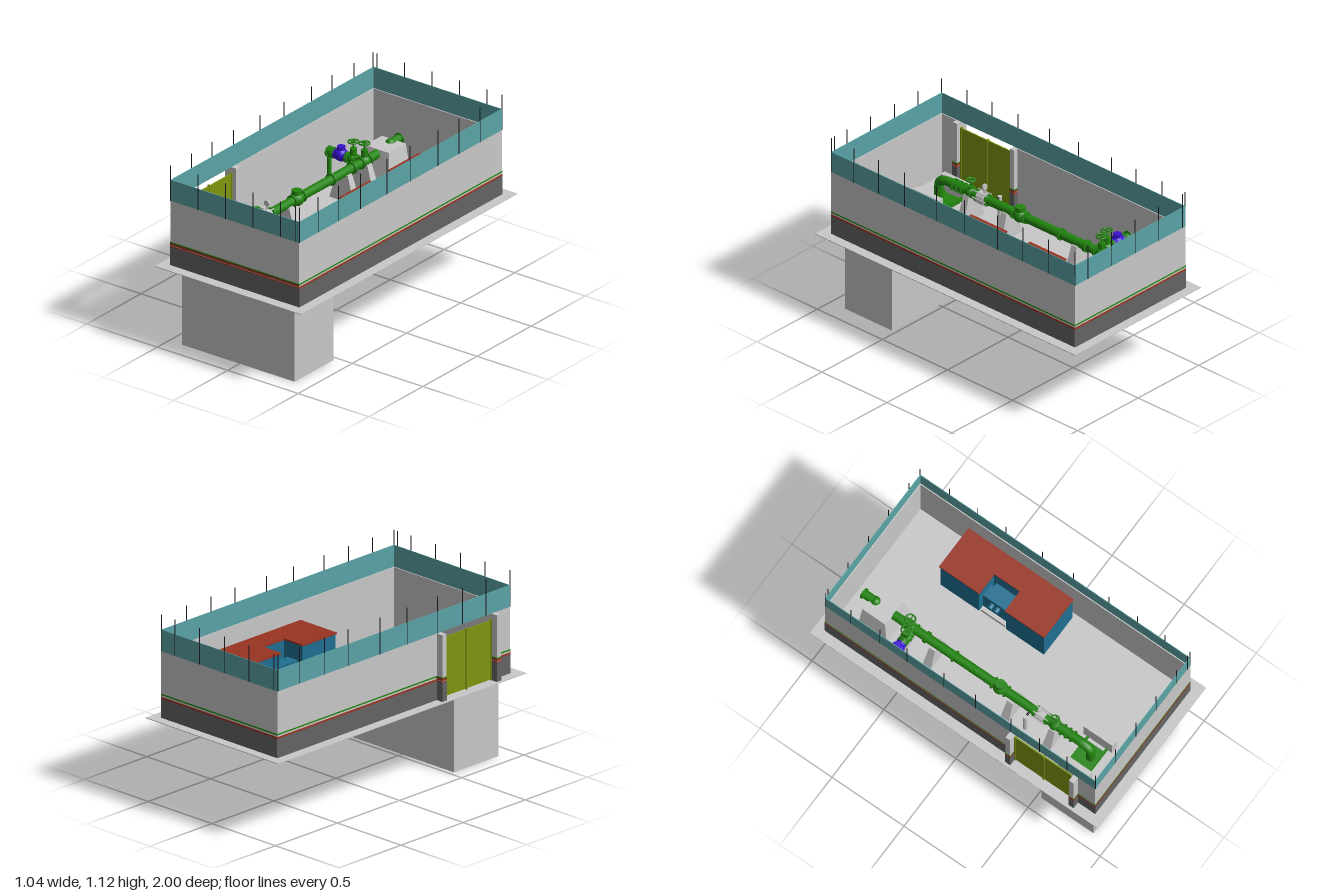
import * as THREE from 'three';

const mat = (name, color) => {
  const m = new THREE.MeshStandardMaterial({ color, side: THREE.DoubleSide });
  m.name = name;
  return m;
};

export function createModel() {
  const concrete = mat('concrete grey', 0xc8c8c8), dark = mat('plinth grey', 0x646464);
  const red = mat('brick red', 0x9a3422), green = mat('pipe green', 0x22850f);
  const blue = mat('cabinet blue', 0x1f6f92), indigo = mat('meter indigo', 0x3a0fd0);
  const teal = mat('screen teal', 0x5aa3a6), black = mat('post black', 0x1a1a22);
  const olive = mat('gate olive', 0x7f960f);

  const root = new THREE.Group();
  root.name = 'pumpStation';
  const group = (name) => {
    const g = new THREE.Group();
    g.name = name;
    root.add(g);
    return g;
  };
  const add = (g, name, geo, m) => {
    const mesh = new THREE.Mesh(geo, m);
    mesh.name = name;
    g.add(mesh);
    return mesh;
  };
  // Box given by its minimum and maximum corners
  const box = (g, name, m, x0, x1, y0, y1, z0, z1) => {
    const b = add(g, name, new THREE.BoxGeometry(x1 - x0, y1 - y0, z1 - z0), m);
    b.position.set((x0 + x1) / 2, (y0 + y1) / 2, (z0 + z1) / 2);
    return b;
  };
  // Round bar between two points
  const rod = (g, name, m, a, b, r, sides = 20) => {
    const p = new THREE.Vector3(...a), q = new THREE.Vector3(...b), d = q.clone().sub(p);
    const c = add(g, name, new THREE.CylinderGeometry(r, r, d.length(), sides), m);
    c.position.copy(p).add(q).multiplyScalar(0.5);
    c.quaternion.setFromUnitVectors(new THREE.Vector3(0, 1, 0), d.normalize());
    return c;
  };
  const ball = (g, name, m, x, y, z, r) =>
    add(g, name, new THREE.SphereGeometry(r, 20, 14), m).position.set(x, y, z);
  // Block whose top is inset from its base
  const taper = (g, name, m, x0, x1, y0, y1, z0, z1, left, right, back, front) => {
    const b = box(g, name, m, x0, x1, y0, y1, z0, z1);
    const p = b.geometry.attributes.position;
    for (let i = 0; i < p.count; i++) {
      if (p.getY(i) < 0) continue;
      p.setX(i, p.getX(i) + (p.getX(i) < 0 ? left : -right));
      p.setZ(i, p.getZ(i) + (p.getZ(i) < 0 ? back : -front));
    }
    b.geometry.computeVertexNormals();
    return b;
  };

  // Ground slab and the pit below it
  const base = group('base');
  box(base, 'slab', concrete, -0.52, 0.52, 0.496, 0.5, -1, 1);
  box(base, 'pit', concrete, -0.41, 0.39, 0, 0.496, 0.53, 0.89);

  // Enclosure walls with plinth and stripes on the outer face
  const walls = group('walls');
  const W = 0.457, ZB = -0.94, ZF = 0.935, T = 0.01;
  const sideBands = [[dark, 0.496, 0.615], [red, 0.615, 0.626], [green, 0.637, 0.645]];
  const frontBands = [[dark, 0.496, 0.615], [red, 0.615, 0.621], [red, 0.625, 0.639], [green, 0.639, 0.645]];
  const wall = (x0, x1, z0, z1, face, bands) => {
    box(walls, 'wall', concrete, x0, x1, 0.496, 0.9, z0, z1);
    for (const [m, y0, y1] of bands) {
      const e = 0.002;
      if (face === 'x+') box(walls, 'stripe', m, x1, x1 + e, y0, y1, z0, z1);
      if (face === 'x-') box(walls, 'stripe', m, x0 - e, x0, y0, y1, z0, z1);
      if (face === 'z+') box(walls, 'stripe', m, x0, x1, y0, y1, z1, z1 + e);
      if (face === 'z-') box(walls, 'stripe', m, x0, x1, y0, y1, z0 - e, z0);
    }
  };
  wall(-W, W, ZF - T, ZF, 'z+', frontBands);
  wall(-W, W, ZB, ZB + T, 'z-', sideBands);
  wall(W - T, W, ZB, ZF, 'x+', sideBands);
  wall(-W, -W + T, ZB, 0.36, 'x-', sideBands);
  wall(-W, -W + T, 0.8, ZF, 'x-', sideBands);

  // Gate pillars and two-leaf gate
  const gate = group('gate');
  for (const z of [0.36, 0.8]) {
    box(gate, 'pillar', concrete, -0.5, -0.42, 0.496, 0.9, z - 0.016, z + 0.016);
    for (const [m, y0, y1] of frontBands)
      box(gate, 'pillarStripe', m, -0.502, -0.418, y0, y1, z - 0.018, z + 0.018);
  }
  for (const z of [0.376, 0.582]) box(gate, 'gateLeaf', olive, -0.458, -0.45, 0.505, 0.86, z, z + 0.202);
  for (const z of [0.376, 0.575, 0.777]) box(gate, 'gateFrame', olive, -0.463, -0.445, 0.5, 0.865, z, z + 0.008);

  // Teal screen on top of the walls
  const screen = group('screen');
  const S = 0.004;
  box(screen, 'screenPanel', teal, -W, W, 0.9, 1.03, ZF - S, ZF);
  box(screen, 'screenPanel', teal, -W, W, 0.9, 1.03, ZB, ZB + S);
  box(screen, 'screenPanel', teal, W - S, W, 0.9, 1.03, ZB, ZF);
  box(screen, 'screenPanel', teal, -W, -W + S, 0.9, 1.03, ZB, ZF);
  const post = (x, z) => box(screen, 'post', black, x - 0.002, x + 0.002, 0.9, 1.12, z - 0.002, z + 0.002);
  for (const x of [-0.455, -0.26, -0.065, 0.13, 0.325, 0.43]) post(x, ZF);
  for (const x of [-0.43, -0.235, -0.04, 0.155, 0.35, 0.455]) post(x, ZB);
  for (const z of [0.933, 0.76, 0.57, 0.37, 0.125, -0.09, -0.345, -0.54, -0.735]) post(W, z);
  for (const z of [0.74, 0.55, 0.35, 0.105, -0.115, -0.37, -0.56, -0.76, -0.935]) post(-W, z);

  // Main pipeline with its flanges
  const pipe = group('pipeline');
  const PX = -0.205, PY = 0.67;
  rod(pipe, 'mainPipe', green, [PX, PY, -0.7], [PX, PY, 0.66], 0.027);
  const flange = (z, y = PY, r = 0.036) =>
    rod(pipe, 'flange', green, [PX, y, z - 0.005], [PX, y, z + 0.005], r);
  for (const z of [-0.56, -0.49, -0.42, -0.41, -0.22, 0.05, 0.14, 0.34, 0.425, 0.53, 0.565, 0.6]) flange(z);
  rod(pipe, 'tailPipe', green, [PX, 0.69, -0.77], [PX, 0.69, -0.86], 0.026);
  ball(pipe, 'tailBend', green, PX, 0.69, -0.77, 0.03);
  flange(-0.85, 0.69, 0.033);
  const bend = new THREE.CatmullRomCurve3([
    [PY, 0.65], [PY - 0.006, 0.685], [0.645, 0.715], [0.6, 0.722], [0.5, 0.722],
  ].map(([y, z]) => new THREE.Vector3(PX, y, z)));
  add(pipe, 'frontBend', new THREE.TubeGeometry(bend, 24, 0.027, 16), green);
  ball(pipe, 'checkValve', green, PX, PY, 0.095, 0.043);
  rod(pipe, 'checkCap', green, [PX, PY, 0.095], [PX, 0.725, 0.095], 0.03);

  // Side branch with the meter
  const branch = group('branch');
  const BZ = -0.51;
  rod(branch, 'branchPipe', green, [PX, PY, BZ], [-0.45, PY, BZ], 0.022);
  for (const x of [-0.245, -0.3, -0.312, -0.4, -0.412, -0.445])
    rod(branch, 'branchFlange', green, [x - 0.004, PY, BZ], [x + 0.004, PY, BZ], 0.033);
  ball(branch, 'meterBody', indigo, -0.355, PY + 0.005, BZ, 0.04);
  rod(branch, 'meterNeck', indigo, [-0.402, PY, BZ], [-0.308, PY, BZ], 0.03);
  rod(branch, 'meterHead', indigo, [-0.355, PY, BZ], [-0.355, 0.727, BZ], 0.024);
  rod(branch, 'drop', green, [-0.44, PY, BZ], [-0.44, 0.488, BZ], 0.012);

  // Gate valves with handwheels
  const valve = (x, z, top, r) => {
    const g = group('valve');
    ball(g, 'valveBody', green, x, PY, z, 0.036);
    rod(g, 'bonnet', green, [x, PY, z], [x, top - 0.04, z], 0.02);
    rod(g, 'stem', green, [x, PY, z], [x, top + 0.008, z], 0.005, 10);
    const wheel = add(g, 'handwheel', new THREE.TorusGeometry(r, 0.005, 8, 24), green);
    wheel.rotation.x = Math.PI / 2;
    wheel.position.set(x, top, z);
    rod(g, 'spoke', green, [x - r, top, z], [x + r, top, z], 0.004, 8);
    rod(g, 'spoke', green, [x, top, z - r], [x, top, z + r], 0.004, 8);
  };
  valve(PX, -0.53, 0.78, 0.03);
  valve(-0.268, BZ, 0.78, 0.03);
  valve(PX, 0.475, 0.75, 0.024);

  // Grey joint with tie bars, and the drain beside it
  const joint = group('joint');
  rod(joint, 'jointSleeve', concrete, [PX, PY, 0.355], [PX, PY, 0.41], 0.036);
  for (let i = 0; i < 6; i++) {
    const a = i * Math.PI / 3, x = PX + 0.037 * Math.cos(a), y = PY + 0.037 * Math.sin(a);
    rod(joint, 'tieBar', concrete, [x, y, 0.335], [x, y, 0.435], 0.004, 8);
  }
  rod(joint, 'gaugeStem', concrete, [PX, PY, 0.37], [PX, 0.74, 0.37], 0.006, 10);
  rod(joint, 'gauge', concrete, [PX, 0.745, 0.364], [PX, 0.745, 0.376], 0.018);
  rod(joint, 'drainArm', black, [PX, PY, 0.315], [-0.28, PY, 0.315], 0.007, 10);
  rod(joint, 'drainPipe', concrete, [-0.27, 0.44, 0.315], [-0.27, 0.68, 0.315], 0.013);
  rod(joint, 'drainTip', black, [-0.27, 0.405, 0.315], [-0.27, 0.44, 0.315], 0.007, 10);

  // Pipe saddles with hollow feet under the slab
  const slot = (w, d) => {
    const s = new THREE.Shape(), r = d / 2;
    s.absarc(w / 2 - r, 0, r, -Math.PI / 2, Math.PI / 2);
    s.absarc(-w / 2 + r, 0, r, Math.PI / 2, Math.PI * 1.5);
    return s;
  };
  for (const z of [-0.53, -0.35, 0.19, 0.48]) {
    const g = group('support');
    taper(g, 'saddle', concrete, -0.295, -0.12, 0.5, 0.66, z - 0.028, z + 0.028, 0.05, 0.05, 0.008, 0.008);
    const ring = slot(0.175, 0.055);
    ring.holes.push(slot(0.14, 0.025));
    const foot = add(g, 'foot', new THREE.ExtrudeGeometry(ring, { depth: 0.03, bevelEnabled: false }), concrete);
    foot.rotation.x = Math.PI / 2;
    foot.position.set(-0.207, 0.497, z);
  }

  // Anchor block at the back, sump cover and cheeks at the front
  const anchors = group('anchors');
  taper(anchors, 'anchorBlock', concrete, -0.32, -0.09, 0.5, 0.7, -0.81, -0.61, 0.03, 0.03, 0.008, 0.035);
  box(anchors, 'sumpCover', green, -0.285, -0.135, 0.5, 0.53, 0.635, 0.77);
  for (const z of [0.63, 0.76]) box(anchors, 'sumpRail', green, -0.3, -0.11, 0.51, 0.535, z, z + 0.012);
  taper(anchors, 'cheek', concrete, -0.355, -0.3, 0.5, 0.62, 0.6, 0.8, 0.018, 0, 0, 0);
  taper(anchors, 'cheek', concrete, -0.107, -0.052, 0.5, 0.62, 0.6, 0.8, 0, 0.018, 0, 0);

  // Control cabinet: U-shaped body under a red top
  const cabinet = group('cabinet');
  const plan = (i) => new THREE.Shape([
    [0.14 + i, -0.58 + i], [0.425 - i, -0.58 + i], [0.425 - i, 0.15 - i], [0.14 + i, 0.15 - i],
    [0.14 + i, -0.125 + i], [0.285 + i, -0.125 + i], [0.285 + i, -0.3 - i], [0.14 + i, -0.3 - i],
  ].map(([x, z]) => new THREE.Vector2(x, z)));
  const slabOf = (name, m, inset, y0, y1) => {
    const s = add(cabinet, name, new THREE.ExtrudeGeometry(plan(inset), { depth: y1 - y0, bevelEnabled: false }), m);
    s.rotation.x = Math.PI / 2;
    s.position.y = y1;
  };
  slabOf('cabinetBody', blue, 0.006, 0.5, 0.79);
  slabOf('cabinetTop', red, 0, 0.79, 0.8);

  // Pump unit in the cabinet recess
  const unit = group('pumpUnit');
  box(unit, 'unitBase', concrete, 0.15, 0.285, 0.5, 0.53, -0.296, -0.13);
  box(unit, 'unitBody', blue, 0.175, 0.255, 0.53, 0.7, -0.3, -0.13);
  box(unit, 'unitBack', blue, 0.255, 0.285, 0.53, 0.68, -0.285, -0.145);
  for (const z of [-0.235, -0.195])
    rod(unit, 'unitPort', blue, [0.145, 0.65, z], [0.18, 0.65, z], 0.016);

  return root;
}
